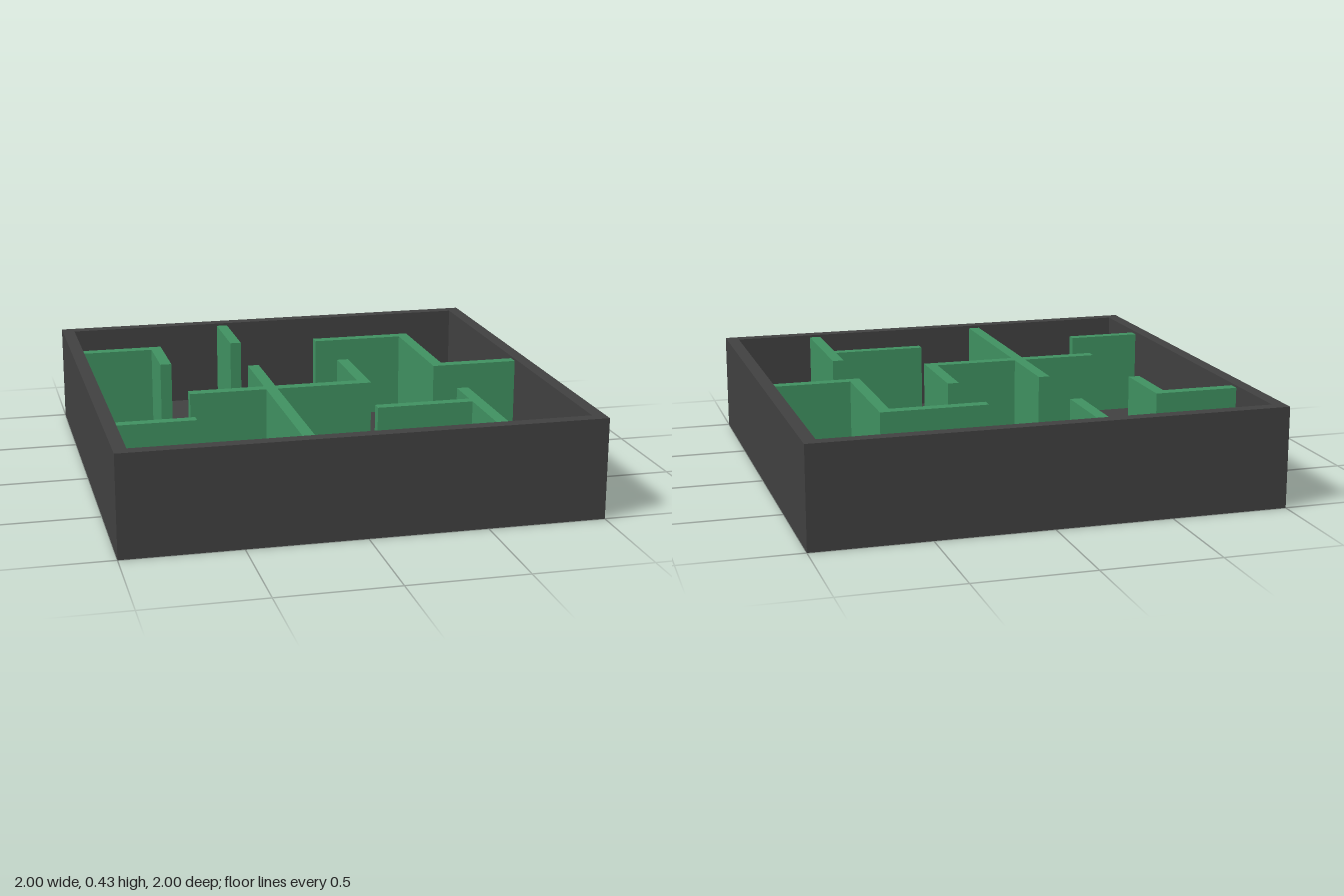
import * as THREE from 'three';

const SIZE = 2, INNER = 0.945, FLOOR = 0.05, RIM = 0.43, WALL_TOP = 0.42;

// Maze walls in plan: each group lists [x0, x1, z0, z1] runs that meet without overlapping
const MAZE = {
  backWall: [[-0.25, -0.2, -0.94, -0.585]],
  backRightCornerWall: [[-0.945, -0.58, -0.6, -0.55], [-0.63, -0.58, -0.55, -0.275]],
  backLeftZigzagWall: [
    [0.15, 0.56, -0.58, -0.53], [0.56, 0.61, -0.58, 0.03], [0.61, 0.945, -0.02, 0.03],
  ],
  centreCrossWall: [
    [-0.25, -0.2, -0.17, 0.935], [-0.58, -0.25, 0.18, 0.23],
    [-0.2, 0.215, 0.18, 0.23], [0.165, 0.215, -0.175, 0.18],
  ],
  frontRightStubWall: [[-0.94, -0.615, 0.565, 0.61]],
  frontLeftTeeWall: [[0.14, 0.55, 0.565, 0.61], [0.55, 0.6, 0.4, 0.945]],
};

function squarePoints(half) {
  return [[-half, -half], [half, -half], [half, half], [-half, half]]
    .map(([x, y]) => new THREE.Vector2(x, y));
}

export function createModel() {
  const model = new THREE.Group();
  model.name = 'mazeTray';
  const dark = new THREE.MeshStandardMaterial({ color: 0x404040 });
  const green = new THREE.MeshStandardMaterial({ color: 0x3f9060 });

  // Floor slab
  const floor = new THREE.Mesh(new THREE.BoxGeometry(SIZE, FLOOR, SIZE), dark);
  floor.name = 'floor';
  floor.position.y = FLOOR / 2;
  model.add(floor);

  // Square rim standing on the floor
  const outline = new THREE.Shape(squarePoints(SIZE / 2));
  outline.holes.push(new THREE.Path(squarePoints(INNER).reverse()));
  const rimGeometry = new THREE.ExtrudeGeometry(outline, { depth: RIM - FLOOR, bevelEnabled: false });
  rimGeometry.rotateX(-Math.PI / 2);
  const rim = new THREE.Mesh(rimGeometry, dark);
  rim.name = 'rim';
  rim.position.y = FLOOR;
  model.add(rim);

  // Maze walls
  const height = WALL_TOP - FLOOR;
  for (const [name, runs] of Object.entries(MAZE)) {
    const group = new THREE.Group();
    group.name = name;
    runs.forEach(([x0, x1, z0, z1], i) => {
      const wall = new THREE.Mesh(new THREE.BoxGeometry(x1 - x0, height, z1 - z0), green);
      wall.name = `${name}Run${i + 1}`;
      wall.position.set((x0 + x1) / 2, FLOOR + height / 2, (z0 + z1) / 2);
      group.add(wall);
    });
    model.add(group);
  }
  return model;
}
